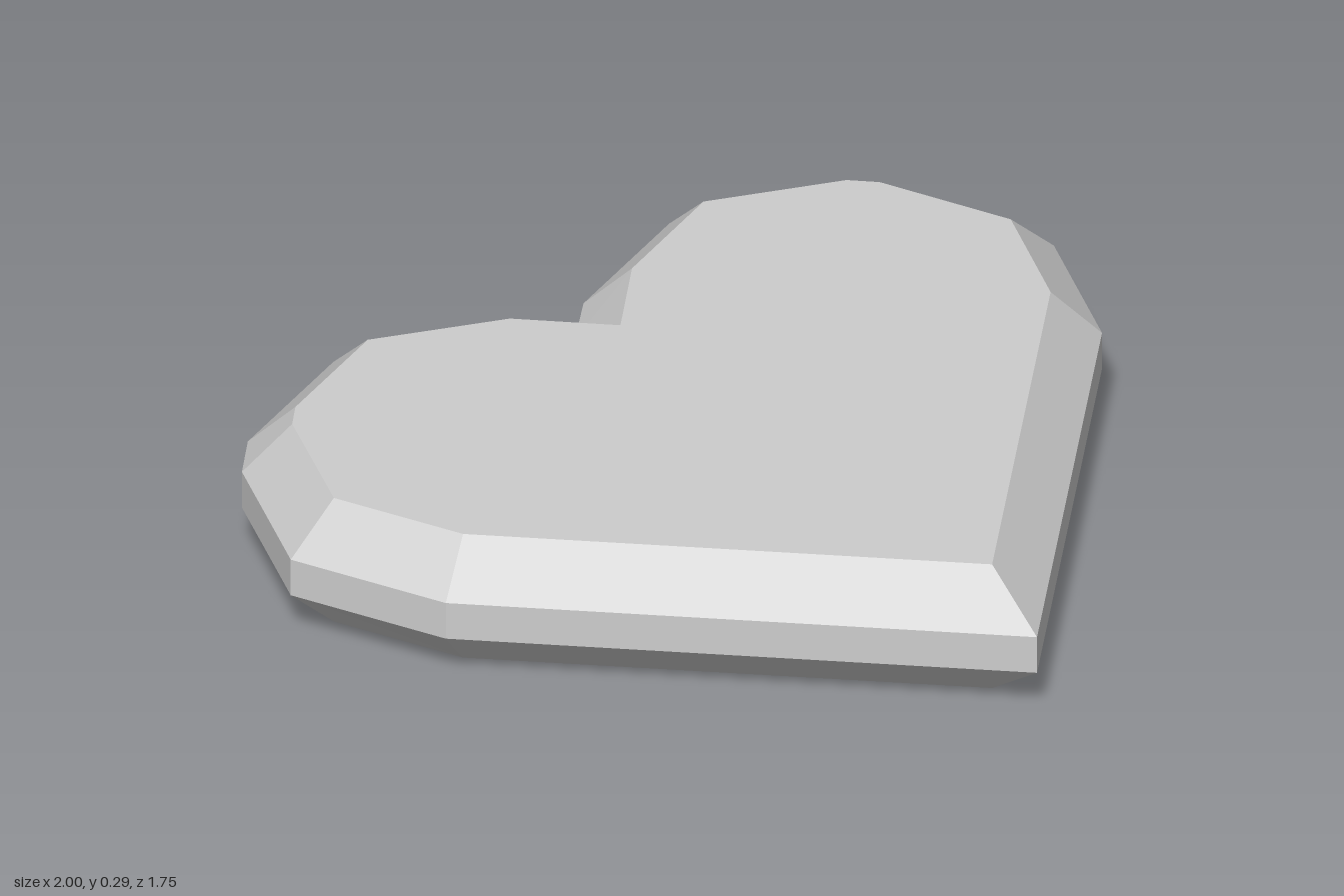
import * as THREE from 'three';

// Half outlines as [x, z], from the notch round the lobe to the tip
const OUTER = [[0, -0.64], [0.105, -0.742], [0.44, -0.88], [0.775, -0.742], [0.86, -0.655], [1, -0.32], [0.86, 0.013], [0, 0.875]];
const INNER = [[0, -0.49], [0.16, -0.652], [0.44, -0.768], [0.722, -0.652], [0.77, -0.603], [0.887, -0.32], [0.77, -0.043], [0, 0.728]];

// Mirror a half outline into a closed loop
function fullLoop(half) {
  return [...half, ...half.slice(1, -1).reverse().map(([x, z]) => [-x, z])];
}

// Geometry with separate corners for every triangle, so facets stay flat
function facets(points) {
  const geometry = new THREE.BufferGeometry();
  geometry.setAttribute('position', new THREE.Float32BufferAttribute(points.flat(), 3));
  geometry.computeVertexNormals();
  return geometry;
}

// Wall joining a lower loop to an upper loop
function band(lower, y0, upper, y1) {
  const points = [];
  lower.forEach((p, i) => {
    const j = (i + 1) % lower.length;
    const a = [p[0], y0, p[1]], b = [lower[j][0], y0, lower[j][1]];
    const c = [upper[i][0], y1, upper[i][1]], d = [upper[j][0], y1, upper[j][1]];
    points.push(a, c, d, a, d, b);
  });
  return facets(points);
}

// Flat heart-shaped face
function cap(loop, y, facesUp) {
  const outline = loop.map(([x, z]) => new THREE.Vector2(x, z));
  const points = [];
  for (const [a, b, c] of THREE.ShapeUtils.triangulateShape(outline, [])) {
    for (const k of facesUp ? [a, c, b] : [a, b, c]) points.push([loop[k][0], y, loop[k][1]]);
  }
  return facets(points);
}

export function createModel() {
  const group = new THREE.Group();
  group.name = 'heart';
  const grey = new THREE.MeshStandardMaterial({ color: 0xcccccc });
  grey.name = 'light grey';
  grey.flatShading = true;

  const outer = fullLoop(OUTER), inner = fullLoop(INNER);
  const parts = {
    bottomFace: cap(inner, 0, false),
    lowerBevel: band(inner, 0, outer, 0.105),
    rim: band(outer, 0.105, outer, 0.19),
    upperBevel: band(outer, 0.19, inner, 0.295),
    topFace: cap(inner, 0.295, true),
  };
  for (const [name, geometry] of Object.entries(parts)) {
    const mesh = new THREE.Mesh(geometry, grey);
    mesh.name = name;
    group.add(mesh);
  }
  return group;
}
